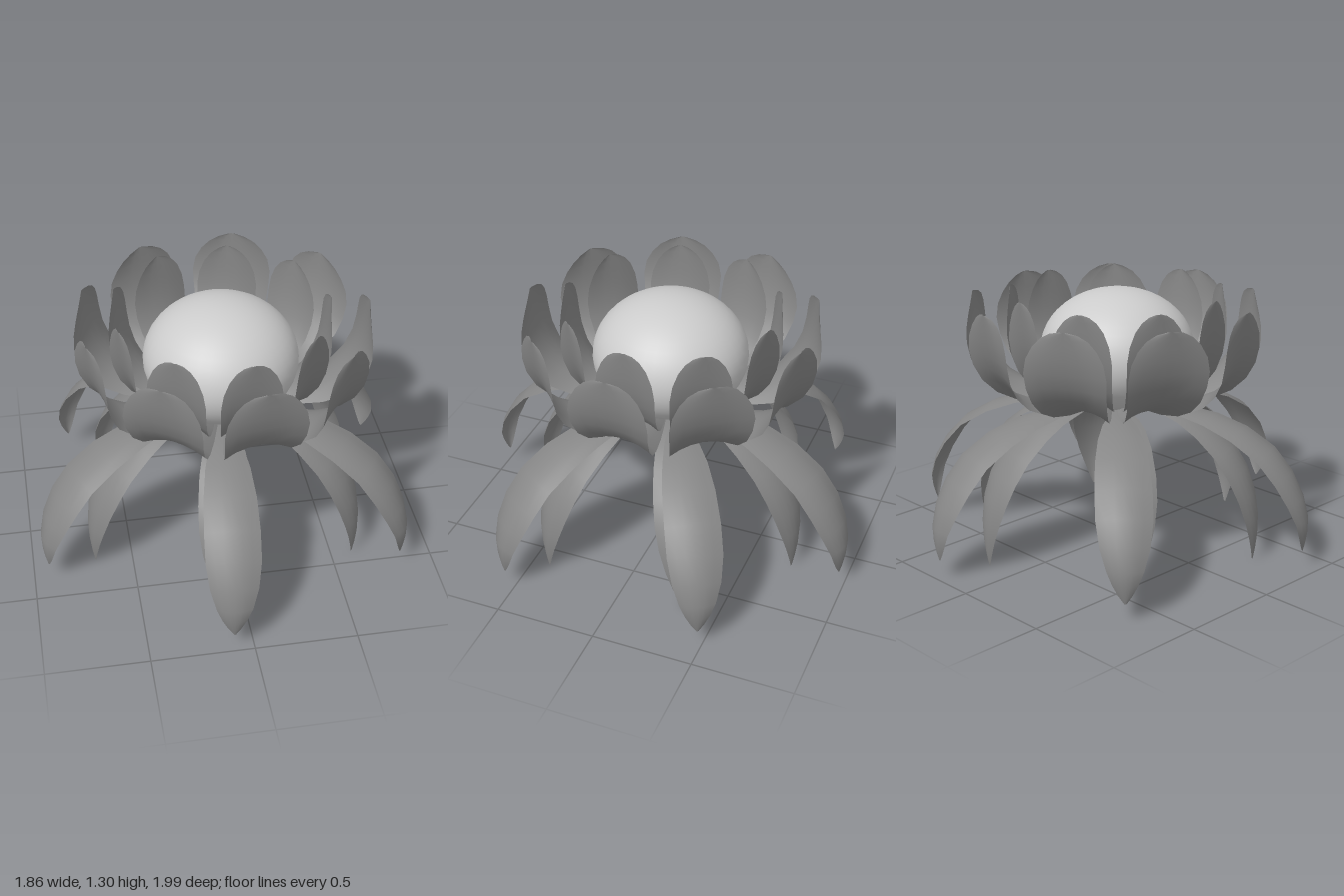
import * as THREE from 'three';

const centreMaterial = new THREE.MeshStandardMaterial({ color: 0xcccccc });
const bladeMaterial = new THREE.MeshStandardMaterial({ color: 0x868686, side: THREE.DoubleSide });

// Thin blade along +x: each station is [radius, height, half width].
// The edges fold down by a share of the half width, from baseFold to tipFold.
function bladeGeometry(stations, baseFold, tipFold, rows = 12, cols = 6) {
  const curve = new THREE.CatmullRomCurve3(stations.map(s => new THREE.Vector3(...s)), false, 'centripetal');
  const positions = [], index = [];
  for (let i = 0; i <= rows; i++) {
    const u = i / rows, p = curve.getPoint(u), d = curve.getTangent(u);
    const length = Math.hypot(d.x, d.y);
    for (let j = 0; j <= cols; j++) {
      const t = 2 * j / cols - 1;
      const fold = THREE.MathUtils.lerp(baseFold, tipFold, u) * p.z * t * t / length;
      positions.push(p.x + d.y * fold, p.y - d.x * fold, p.z * t);
      if (i < rows && j < cols) {
        const a = i * (cols + 1) + j, b = a + cols + 1;
        index.push(a, a + 1, b, b, a + 1, b + 1);
      }
    }
  }
  const geometry = new THREE.BufferGeometry();
  geometry.setAttribute('position', new THREE.Float32BufferAttribute(positions, 3));
  geometry.setIndex(index);
  geometry.computeVertexNormals();
  return geometry;
}

// One blade per angle (degrees) around a vertical axis at x, z
function ring(name, geometry, angles, x, z) {
  const group = new THREE.Group();
  group.name = name + 's';
  group.position.set(x, 0, z);
  for (const angle of angles) {
    const mesh = new THREE.Mesh(geometry, bladeMaterial);
    mesh.name = name;
    mesh.rotation.y = THREE.MathUtils.degToRad(angle);
    group.add(mesh);
  }
  return group;
}

export function createModel() {
  const flower = new THREE.Group();
  flower.name = 'flower';

  // Rounded centre
  const centre = new THREE.Mesh(new THREE.SphereGeometry(0.38, 40, 24), centreMaterial);
  centre.name = 'flowerCentre';
  centre.scale.y = 0.79;
  centre.position.y = 1;
  flower.add(centre);

  // Two rings of upright petals
  const petalAngles = Array.from({ length: 9 }, (_, i) => -3 + i * 40);
  flower.add(ring('outerPetal', bladeGeometry([
    [0.08, 0.755, 0.02], [0.28, 0.775, 0.085], [0.46, 0.815, 0.14], [0.58, 0.88, 0.175],
    [0.655, 0.98, 0.195], [0.69, 1.09, 0.197], [0.703, 1.18, 0.155], [0.708, 1.24, 0.09], [0.71, 1.262, 0.015],
  ], 0.5, -0.25), petalAngles, 0.015, -0.01));
  flower.add(ring('innerPetal', bladeGeometry([
    [0.08, 0.76, 0.02], [0.22, 0.78, 0.065], [0.34, 0.82, 0.105], [0.43, 0.895, 0.132],
    [0.488, 1.01, 0.148], [0.514, 1.12, 0.147], [0.525, 1.22, 0.112], [0.53, 1.28, 0.06], [0.531, 1.3, 0.012],
  ], 0.5, -0.25), petalAngles, 0, -0.005));

  // Two rings of drooping sepals, slightly uneven in spacing
  flower.add(ring('longSepal', bladeGeometry([
    [0.08, 0.735, 0.01], [0.22, 0.737, 0.035], [0.36, 0.735, 0.08], [0.58, 0.697, 0.117], [0.81, 0.58, 0.132],
    [0.95, 0.41, 0.125], [1.01, 0.25, 0.085], [1.007, 0.15, 0.045], [0.995, 0.09, 0.005],
  ], 0.05, 0.38), [-95.5, -34, 28.5, 77, 138, 201.5], 0, -0.008));
  flower.add(ring('lowSepal', bladeGeometry([
    [0.08, 0.73, 0.01], [0.18, 0.732, 0.04], [0.28, 0.727, 0.08], [0.42, 0.69, 0.113], [0.6, 0.56, 0.132],
    [0.705, 0.4, 0.125], [0.75, 0.22, 0.085], [0.75, 0.09, 0.04], [0.737, 0, 0.005],
  ], 0.05, 0.38), [-97, -34, 26.5, 77, 140.5, 201], 0, 0));

  return flower;
}
